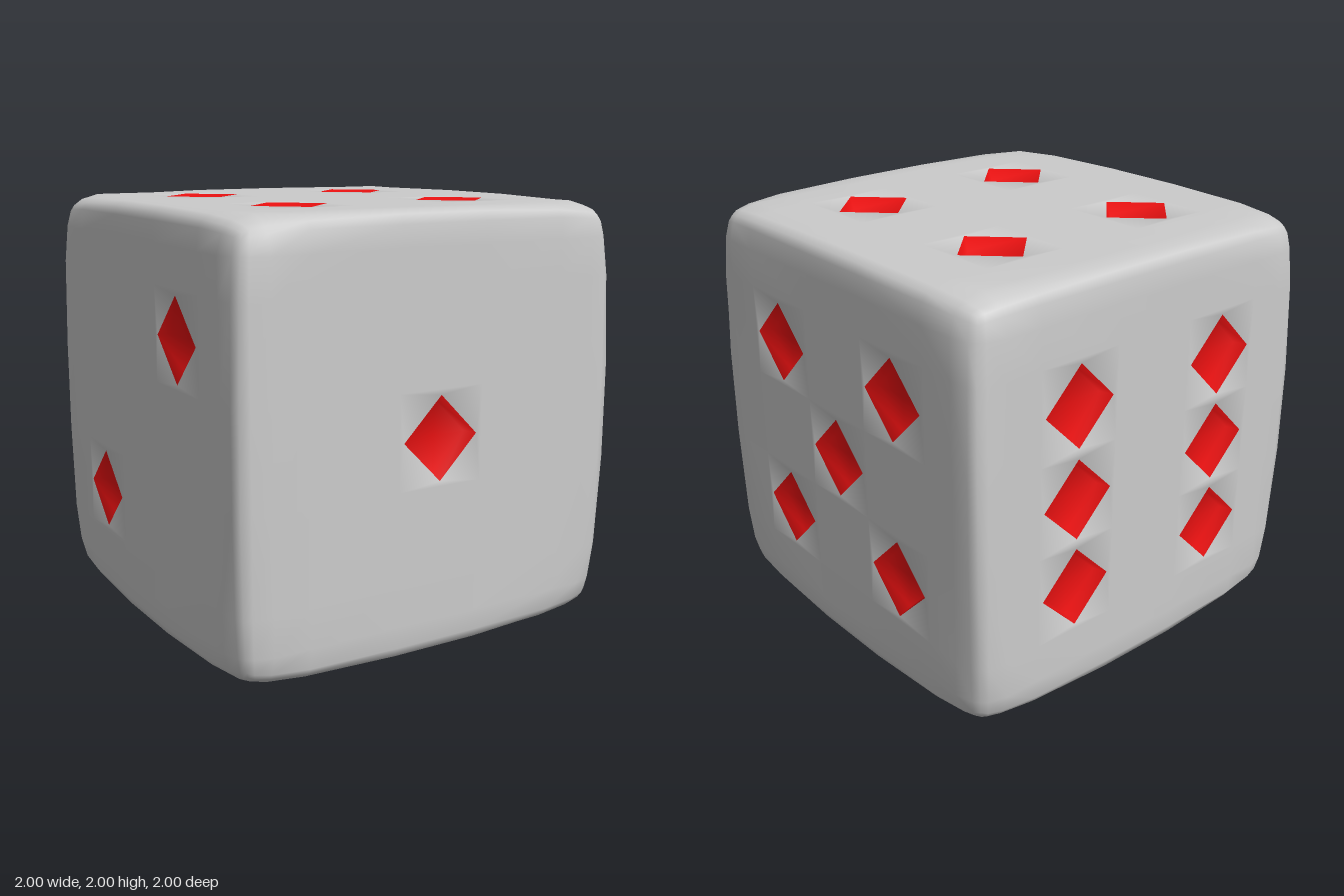
import * as THREE from 'three';
import { mergeVertices } from 'three/addons/utils/BufferGeometryUtils.js';

const V = (x, y, z) => new THREE.Vector3(x, y, z);
const X = V(1, 0, 0), Y = V(0, 1, 0), Z = V(0, 0, 1);
const neg = (v) => v.clone().negate();

// Grid lines across a face: the three middle cells can each hold one pip
const half = [0.22, 0.66, 0.84, 0.94, 1];
const lines = [...half.map((v) => -v).reverse(), ...half];
const PITCH = 0.44, PIP = 0.195, INSET = 0.025, DEPTH = 0.06;

// Each face: normal, its two axes (u x v = normal) and the pip cells
const faces = [
  [Z, X, Y, [[0, 0]]],
  [neg(X), Z, Y, [[1, 1], [-1, -1]]],
  [neg(Y), X, Z, [[-1, -1], [0, 0], [1, 1]]],
  [Y, Z, X, [[-1, -1], [-1, 1], [1, -1], [1, 1]]],
  [X, Y, Z, [[-1, -1], [-1, 1], [0, 0], [1, -1], [1, 1]]],
  [neg(Z), Y, X, [[-1, -1], [0, -1], [1, -1], [-1, 1], [0, 1], [1, 1]]],
];

// Round a point of the cube: narrow bevel mid-edge, widening toward the corners
function rounded(p) {
  const least = Math.min(Math.abs(p.x), Math.abs(p.y), Math.abs(p.z));
  const r = 0.06 + 0.1 * THREE.MathUtils.clamp((least - 0.5) / 0.35, 0, 1);
  const core = p.clone().clampScalar(r - 1, 1 - r);
  return p.clone().sub(core).normalize().multiplyScalar(r).add(core);
}

export function createModel() {
  const bodyTris = [], pipTris = [];
  const tri = (list, ...pts) => pts.forEach((p) => list.push(p.x, p.y + 1, p.z));
  const quad = (list, a, b, c, d) => { tri(list, a, b, c); tri(list, a, c, d); };

  for (const [n, u, v, pips] of faces) {
    const at = (a, b, depth = 0) =>
      n.clone().multiplyScalar(1 - depth).addScaledVector(u, a).addScaledVector(v, b);

    for (let i = 0; i < lines.length - 1; i++) {
      for (let j = 0; j < lines.length - 1; j++) {
        const c = [[i, j], [i + 1, j], [i + 1, j + 1], [i, j + 1]]
          .map(([a, b]) => rounded(at(lines[a], lines[b])));
        const pip = pips.find(([a, b]) => a === i - 4 && b === j - 4);
        if (!pip) { quad(bodyTris, ...c); continue; }

        // Diamond recess with sloped walls and a flat floor
        const cu = pip[0] * PITCH, cv = pip[1] * PITCH;
        const diamond = (s, d) => [[0, -s], [s, 0], [0, s], [-s, 0]]
          .map(([a, b]) => at(cu + a, cv + b, d));
        const rim = diamond(PIP, 0), floor = diamond(PIP - INSET, DEPTH);
        const centre = at(cu, cv, DEPTH);
        for (let k = 0; k < 4; k++) {
          const m = (k + 1) % 4;
          tri(bodyTris, c[k], c[m], rim[k]);
          tri(bodyTris, c[m], rim[m], rim[k]);
          quad(pipTris, rim[k], rim[m], floor[m], floor[k]);
          tri(pipTris, floor[k], floor[m], centre);
        }
      }
    }
  }

  // Weld everything so that body and pips share smooth normals
  let all = new THREE.BufferGeometry();
  all.setAttribute('position', new THREE.Float32BufferAttribute([...bodyTris, ...pipTris], 3));
  all = mergeVertices(all, 1e-4);
  all.computeVertexNormals();
  const index = Array.from(all.index.array), split = bodyTris.length / 3;

  const group = new THREE.Group();
  group.name = 'die';
  const addPart = (name, part, color) => {
    const geometry = new THREE.BufferGeometry();
    geometry.setAttribute('position', all.attributes.position.clone());
    geometry.setAttribute('normal', all.attributes.normal.clone());
    geometry.setIndex(part);
    const mesh = new THREE.Mesh(geometry, new THREE.MeshStandardMaterial({ color }));
    mesh.name = name;
    group.add(mesh);
  };
  addPart('body', index.slice(0, split), 0xcccccc);
  addPart('pips', index.slice(split), 0xe61010);
  return group;
}
